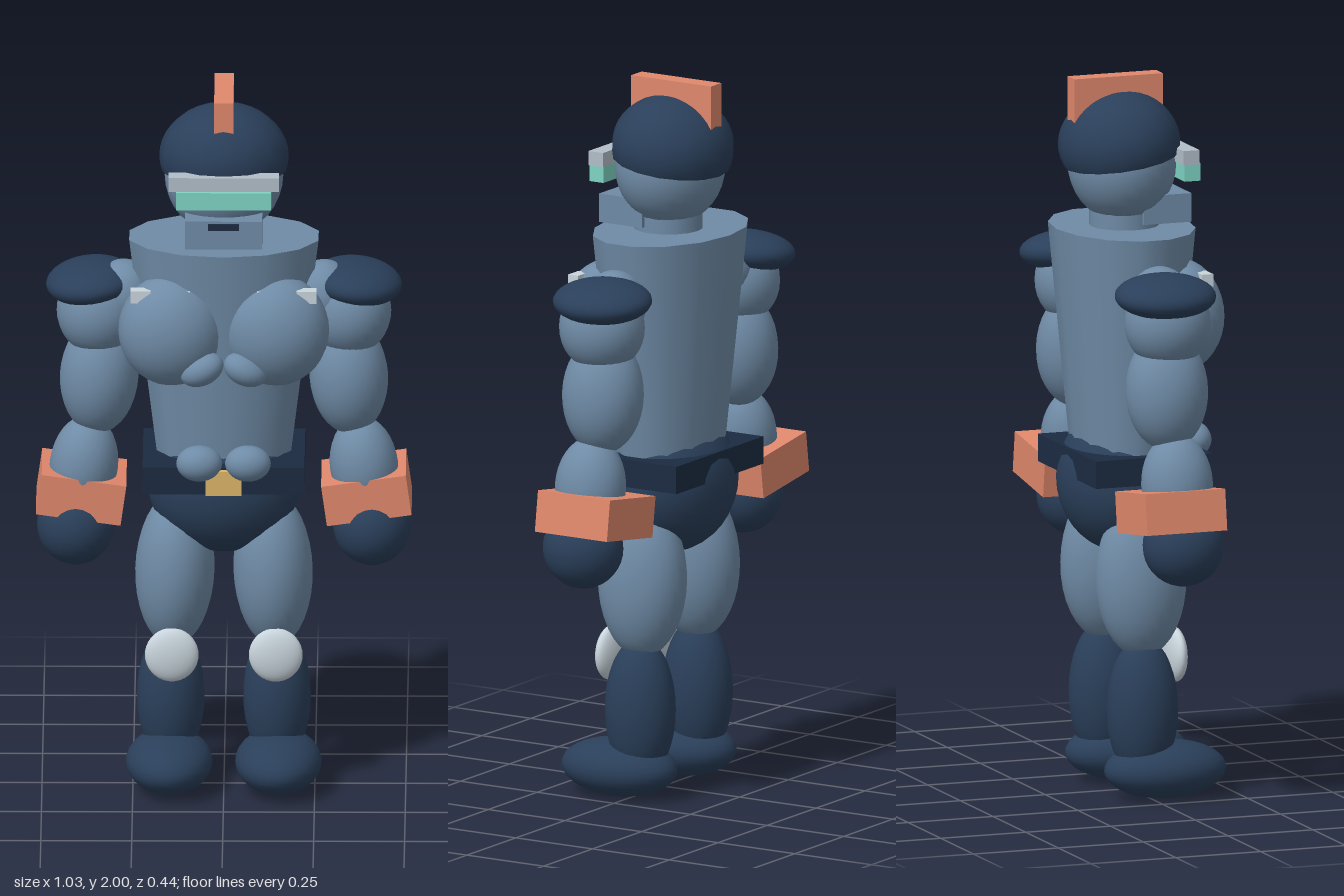
import * as THREE from 'three';

const material = (color) => new THREE.MeshStandardMaterial({ color });
const blue = material(0x6f8ba6);
const navy = material(0x2a3f5a);
const beltNavy = material(0x1c2b42);
const orange = material(0xe0886c);
const teal = material(0x7fd4c4);
const grey = material(0xb2bec8);
const pale = material(0xc9d5dd);
const gold = material(0xdcb568);
const capMaterial = material(0x2a3f5a);
capMaterial.side = THREE.DoubleSide;

export function createModel() {
  const model = new THREE.Group();

  const add = (parent, name, geometry, mat, position, tilt = 0) => {
    const mesh = new THREE.Mesh(geometry, mat);
    mesh.name = name;
    mesh.position.set(...position);
    mesh.rotation.z = tilt;
    parent.add(mesh);
    return mesh;
  };
  const ball = (parent, name, mat, position, radii, tilt) => {
    const geometry = new THREE.SphereGeometry(1, 28, 18).scale(...radii);
    return add(parent, name, geometry, mat, position, tilt);
  };
  const box = (parent, name, mat, position, size, tilt) =>
    add(parent, name, new THREE.BoxGeometry(...size), mat, position, tilt);

  // Trunk: tapered oval chest, pelvis, belt and neck
  const chest = new THREE.CylinderGeometry(0.267, 0.185, 0.65, 14).scale(1, 1, 0.72);
  add(model, 'torso', chest, blue, [0, 1.255, -0.025]);
  ball(model, 'pelvis', navy, [0, 0.87, -0.03], [0.212, 0.2, 0.17]);
  box(model, 'belt', beltNavy, [0, 0.928, -0.015], [0.445, 0.077, 0.342]);
  box(model, 'buckle', gold, [0, 0.926, 0.155], [0.1, 0.07, 0.04]);
  add(model, 'neck', new THREE.CylinderGeometry(0.096, 0.096, 0.1, 16), blue, [0, 1.595, -0.018]);

  // Head with a tilted open helmet cap, crest, visor and jaw
  const head = new THREE.Group();
  head.name = 'head';
  model.add(head);
  ball(head, 'skull', blue, [0, 1.755, -0.025], [0.163, 0.165, 0.148]);
  const capShape = new THREE.SphereGeometry(1, 16, 12, 0, Math.PI * 2, 0, Math.PI * 0.6)
    .scale(0.178, 0.147, 0.167);
  add(head, 'helmet', capShape, capMaterial, [0, 1.81, -0.033]).rotation.x = -0.15;
  box(head, 'crest', orange, [0, 1.93, -0.044], [0.053, 0.14, 0.26]);
  box(head, 'brow', grey, [0, 1.783, 0.122], [0.304, 0.04, 0.048]);
  box(head, 'visor', teal, [0, 1.738, 0.133], [0.262, 0.05, 0.046]);
  box(head, 'jaw', blue, [0, 1.635, 0.07], [0.212, 0.08, 0.14]);
  box(head, 'mouth', beltNavy, [0, 1.66, 0.14], [0.086, 0.018, 0.016]);

  // Mirrored parts: tilts are for the left side (+x)
  for (const [side, s] of [['left', 1], ['right', -1]]) {
    const half = (label) => {
      const group = new THREE.Group();
      group.name = side + label;
      model.add(group);
      return group;
    };

    // Chest and belly muscles, with small studs along the upper chest
    const front = half('Front');
    ball(front, 'pectoral', blue, [s * 0.144, 1.345, 0.088], [0.146, 0.157, 0.122]);
    ball(front, 'upperAbdominal', blue, [s * 0.06, 1.252, 0.157], [0.063, 0.044, 0.05], s * -0.45);
    ball(front, 'lowerAbdominal', blue, [s * 0.067, 0.98, 0.158], [0.063, 0.05, 0.05]);
    for (const x of [0.12, 0.228]) {
      box(front, 'stud', pale, [s * x, 1.457, 0.13], [0.055, 0.035, 0.033]);
    }

    // Arm from shoulder to fist
    const arm = half('Arm');
    ball(arm, 'shoulderJoint', blue, [s * 0.275, 1.415, -0.018], [0.088, 0.095, 0.088]);
    ball(arm, 'deltoid', blue, [s * 0.345, 1.365, -0.022], [0.115, 0.125, 0.12]);
    ball(arm, 'shoulderPad', navy, [s * 0.366, 1.445, -0.037], [0.124, 0.058, 0.142], s * -0.1);
    ball(arm, 'upperArm', blue, [s * 0.343, 1.175, -0.024], [0.108, 0.165, 0.115], s * 0.06);
    ball(arm, 'forearm', blue, [s * 0.385, 0.92, -0.01], [0.094, 0.14, 0.1], s * 0.12);
    box(arm, 'cuff', orange, [s * 0.392, 0.848, -0.03], [0.235, 0.115, 0.235], s * 0.14);
    ball(arm, 'fist', navy, [s * 0.407, 0.752, 0], [0.107, 0.113, 0.113]);

    // Leg from thigh to foot
    const leg = half('Leg');
    ball(leg, 'thigh', blue, [s * 0.135, 0.615, -0.02], [0.109, 0.22, 0.128], s * 0.03);
    ball(leg, 'kneePad', pale, [s * 0.143, 0.397, 0.075], [0.074, 0.077, 0.028]);
    ball(leg, 'shin', navy, [s * 0.146, 0.25, -0.02], [0.093, 0.2, 0.1]);
    ball(leg, 'foot', navy, [s * 0.15, 0.08, 0.045], [0.119, 0.08, 0.174]);
  }
  return model;
}
